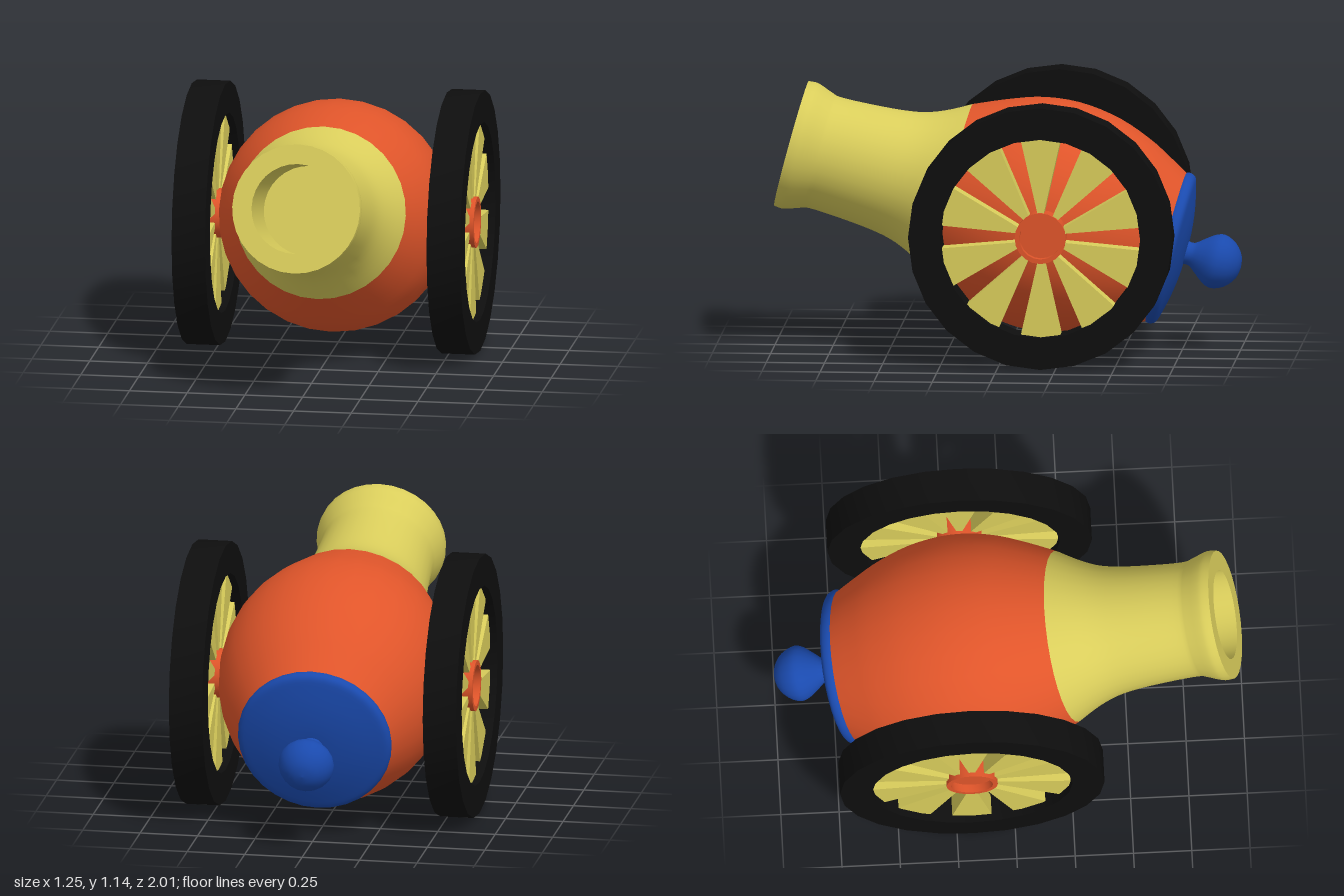
import * as THREE from 'three';
import { toCreasedNormals } from 'three/addons/utils/BufferGeometryUtils.js';

const paint = (color) => new THREE.MeshStandardMaterial({ color, side: THREE.DoubleSide });
const red = paint(0xe0552a);
const yellow = paint(0xd9cd5b);
const blue = paint(0x1a4aae);
const black = paint(0x0e0e0e);

const toVectors = (pts) => pts.map(([r, y]) => new THREE.Vector2(r, y));

function addMesh(parent, name, geometry, material) {
  const mesh = new THREE.Mesh(geometry, material);
  mesh.name = name;
  parent.add(mesh);
  return mesh;
}

// Turned part with a straight-line profile and sharp edges where it bends
function turned(pts, sides, crease = 0.6) {
  return toCreasedNormals(new THREE.LatheGeometry(toVectors(pts), sides), crease);
}

// Turned part with a flowing profile
function flowing(pts, sides, steps) {
  return new THREE.LatheGeometry(new THREE.SplineCurve(toVectors(pts)).getPoints(steps), sides);
}

function createBarrel() {
  const barrel = new THREE.Group();
  barrel.name = 'barrel';

  // Round red body, from the rear cap to the neck
  addMesh(barrel, 'body', flowing([
    [0.325, -0.52], [0.375, -0.43], [0.43, -0.32], [0.48, -0.17], [0.5, 0],
    [0.482, 0.16], [0.435, 0.3], [0.37, 0.45],
  ], 32, 24), red);

  // Yellow neck, flaring out at the muzzle
  addMesh(barrel, 'neck', flowing([
    [0.37, 0.45], [0.32, 0.54], [0.284, 0.63], [0.265, 0.73], [0.252, 0.88],
    [0.247, 1.0], [0.255, 1.04], [0.273, 1.09], [0.28, 1.12], [0.277, 1.154],
  ], 32, 30), yellow);

  // Muzzle face and hollow bore
  addMesh(barrel, 'muzzle', turned([
    [0.277, 1.154], [0.193, 1.154], [0.193, 0.8], [0, 0.8],
  ], 32), yellow);

  // Domed rear cap
  addMesh(barrel, 'rearCap', flowing([
    [0, -0.6], [0.09, -0.6], [0.19, -0.588], [0.28, -0.568], [0.32, -0.555],
    [0.333, -0.535], [0.332, -0.515], [0.318, -0.5],
  ], 32, 20), blue);

  // Knob on a narrow stem
  addMesh(barrel, 'knob', flowing([
    [0, -0.845], [0.05, -0.835], [0.095, -0.8], [0.119, -0.75], [0.112, -0.71],
    [0.08, -0.665], [0.05, -0.625], [0.055, -0.59],
  ], 20, 20), blue);

  barrel.rotation.x = THREE.MathUtils.degToRad(75);
  return barrel;
}

// Wheel lying flat, with its outer side towards +y
function createWheel(name) {
  const wheel = new THREE.Group();
  wheel.name = name;
  const half = 0.0725;

  addMesh(wheel, 'tyre', turned([
    [0.43, -half], [0.567, -half], [0.567, half], [0.43, half], [0.43, -half],
  ], 24), black);

  // Hub with a shallow recess, running inward as the axle
  addMesh(wheel, 'hub', turned([
    [0.1, -0.2], [0.11, 0.06], [0.09, 0.06], [0.09, 0.025], [0, 0.025],
  ], 20), red);

  // Ten wedge-shaped spokes
  const wedge = new THREE.Shape(toVectors([
    [0.09, -0.01], [0.435, -0.088], [0.435, 0.088], [0.09, 0.01],
  ]));
  const spoke = new THREE.ExtrudeGeometry(wedge, { depth: 0.085, bevelEnabled: false });
  spoke.rotateX(-Math.PI / 2).translate(0, -0.043, 0);
  for (let i = 0; i < 10; i++) {
    addMesh(wheel, 'spoke', spoke, yellow).rotation.y = (i * Math.PI) / 5;
  }
  return wheel;
}

export function createModel() {
  const model = new THREE.Group();
  model.name = 'cannon';

  const barrel = createBarrel();
  barrel.position.set(0, 0.575, -0.185);
  model.add(barrel);

  for (const side of [1, -1]) {
    const wheel = createWheel(side > 0 ? 'leftWheel' : 'rightWheel');
    wheel.rotation.z = (-side * Math.PI) / 2;
    wheel.position.set(side * 0.5525, 0.567, -0.185);
    model.add(wheel);
  }
  return model;
}
